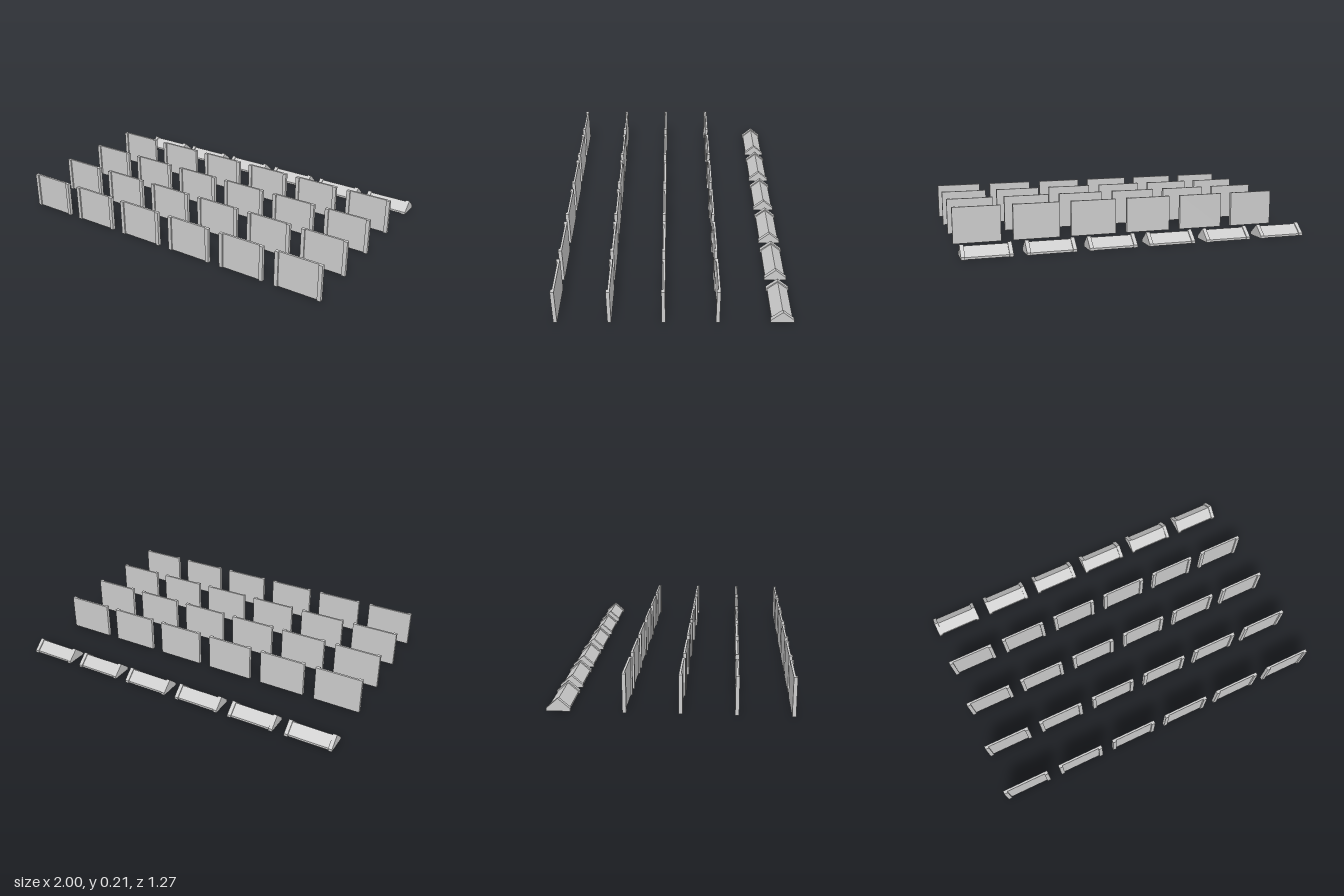
import * as THREE from 'three';

const COLUMNS = 6, PITCH = 0.345, WIDTH = 0.275, RIM = 0.022;
const PANEL_HEIGHT = 0.21, PANEL_DEPTH = 0.02, RECESS = 0.008;
const PANEL_ROWS = [0.627, 0.341, 0.055, -0.232];
const RIDGE_Z = -0.573;

function extrude(points, depth) {
  const shape = new THREE.Shape(points.map(([x, y]) => new THREE.Vector2(x, y)));
  return new THREE.ExtrudeGeometry(shape, { depth, bevelEnabled: false });
}

// Upright panel: flat back, front recessed between two side rims
function panelGeometry() {
  const w = WIDTH / 2, d = PANEL_DEPTH / 2, i = w - RIM, f = -d + RECESS;
  const g = extrude([[-w, -d], [-i, -d], [-i, f], [i, f], [i, -d], [w, -d], [w, d], [-w, d]], PANEL_HEIGHT);
  return g.rotateX(-Math.PI / 2);
}

// Gabled prism running along x, centred on x = 0
function gableGeometry(half, eave, peak, length) {
  const g = extrude([[-half, 0], [half, 0], [half, eave], [0, peak], [-half, eave]], length);
  return g.translate(0, 0, -length / 2).rotateY(Math.PI / 2);
}

export function createModel() {
  const model = new THREE.Group();
  model.name = 'panelSet';
  const grey = new THREE.MeshStandardMaterial({ color: 0xcccccc });
  grey.name = 'lightGrey';

  const panel = panelGeometry();
  const ridgeBody = gableGeometry(0.056, 0.012, 0.062, WIDTH - 2 * RIM);
  const ridgeRim = gableGeometry(0.0625, 0.015, 0.07, RIM);

  for (let c = 0; c < COLUMNS; c++) {
    const x = (c - (COLUMNS - 1) / 2) * PITCH;

    // Four rows of wall panels
    for (const z of PANEL_ROWS) {
      const mesh = new THREE.Mesh(panel, grey);
      mesh.name = 'wallPanel';
      mesh.position.set(x, 0, z);
      model.add(mesh);
    }

    // Back row of ridge pieces with raised end rims
    const ridge = new THREE.Group();
    ridge.name = 'ridgePiece';
    ridge.position.set(x, 0, RIDGE_Z);
    const body = new THREE.Mesh(ridgeBody, grey);
    body.name = 'ridgeBody';
    ridge.add(body);
    for (const side of [-1, 1]) {
      const rim = new THREE.Mesh(ridgeRim, grey);
      rim.name = side > 0 ? 'leftRim' : 'rightRim';
      rim.position.x = side * (WIDTH - RIM) / 2;
      ridge.add(rim);
    }
    model.add(ridge);
  }
  return model;
}
